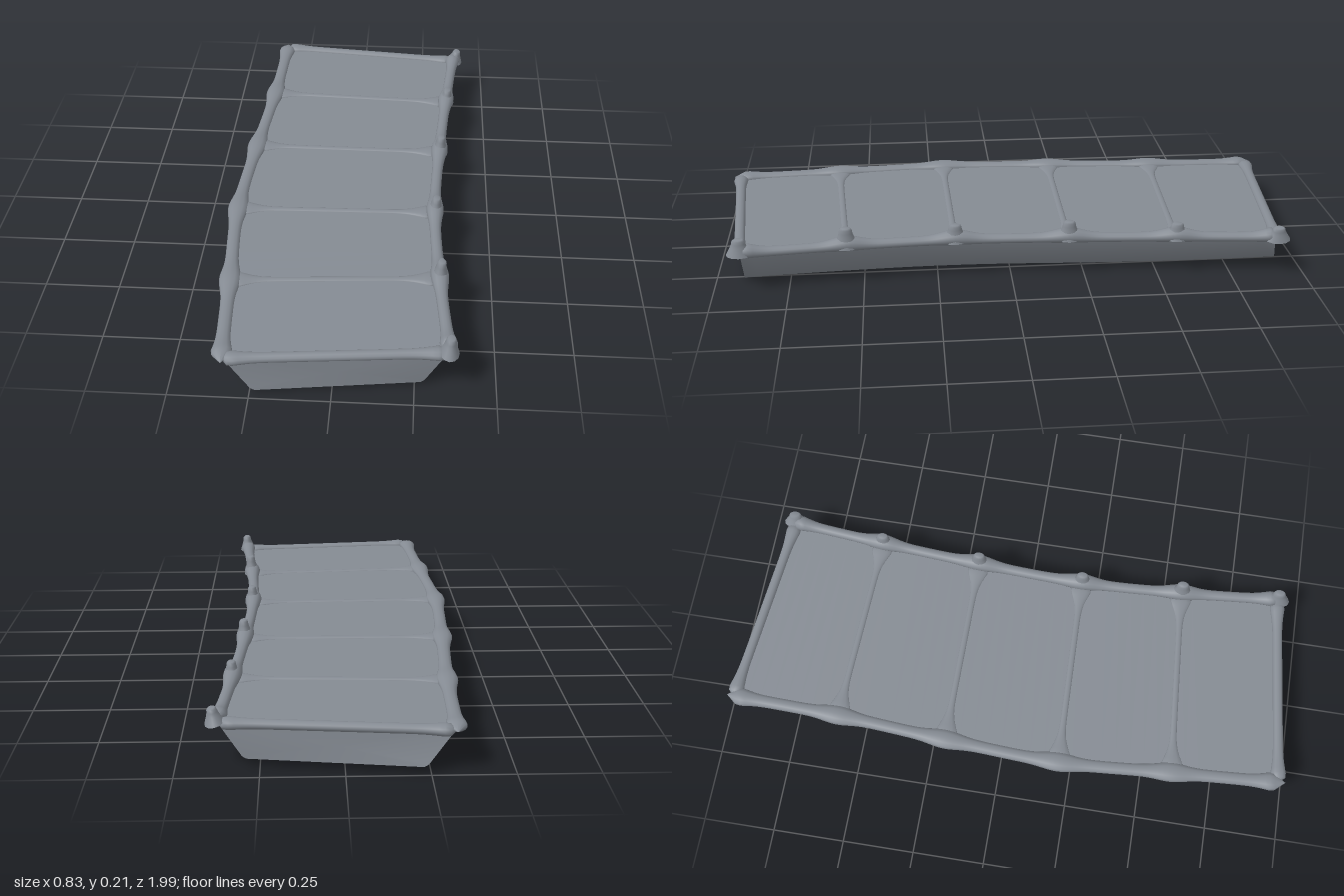
import * as THREE from 'three';
import { toCreasedNormals } from 'three/addons/utils/BufferGeometryUtils.js';

const slate = new THREE.MeshStandardMaterial({ color: 0x858b93 });
const V = (x, y, z) => new THREE.Vector3(x, y, z);

// Skin a list of closed cross-sections (each an array of Vector3)
function skin(rings) {
  const n = rings[0].length, index = [];
  for (let i = 0; i < rings.length - 1; i++) {
    for (let j = 0; j < n; j++) {
      const a = i * n + j, b = i * n + (j + 1) % n;
      index.push(a, a + n, b, b, a + n, b + n);
    }
  }
  const g = new THREE.BufferGeometry().setFromPoints(rings.flat());
  g.setIndex(index);
  g.computeVertexNormals();
  return g;
}

// Oval bar along a curve; size(t) returns [half width, half height, lift]
function bar(curve, segs, size, sides = 12) {
  const up = V(0, 1, 0), rings = [];
  for (let i = 0; i <= segs; i++) {
    const t = i / segs, c = curve.getPoint(t);
    const side = curve.getTangent(t).cross(up).normalize();
    const cap = Math.min(1, Math.min(t, 1 - t) * segs / 2);
    const round = Math.sqrt(1 - (1 - cap) ** 2);
    const [w, h, lift] = size(t);
    rings.push(Array.from({ length: sides }, (_, j) => {
      const a = j / sides * Math.PI * 2;
      return c.clone().addScaledVector(side, Math.cos(a) * w * round)
        .addScaledVector(up, Math.sin(a) * h * round + lift);
    }));
  }
  return skin(rings);
}

// Rail joints, back to front
const leftRow = [[-0.324, -0.97], [-0.336, -0.59], [-0.362, -0.2], [-0.38, 0.205], [-0.354, 0.6], [-0.33, 0.97]];
const rightRow = [[0.375, -0.9], [0.345, -0.56], [0.32, -0.195], [0.305, 0.19], [0.322, 0.555], [0.352, 0.905]];
const hornTops = [0.18, 0.19, 0.2, 0.195, 0.205, 0.19];

export function createModel() {
  const group = new THREE.Group();
  const add = (name, geometry) => {
    const mesh = new THREE.Mesh(geometry, slate);
    mesh.name = name;
    group.add(mesh);
    return mesh;
  };
  const left = new THREE.CatmullRomCurve3(leftRow.map(([x, z]) => V(x, 0.13, z)));
  const right = new THREE.CatmullRomCurve3(rightRow.map(([x, z]) => V(x, 0.133, z)));

  // Curved trough with sloping sides and a flat top; the floor lifts and juts out at the back
  const rings = [];
  for (let i = 0; i <= 40; i++) {
    const t = i / 40, l = left.getPoint(t), r = right.getPoint(t);
    const floor = 0.022 * Math.max(0, 1 - t / 0.4) ** 2 + 0.006 * Math.max(0, t - 0.6) / 0.4;
    const jut = -0.02 * Math.max(0, 1 - t / 0.2);
    const at = (p, dx, y) => V(p.x + dx, y, p.z);
    const low = (p, dx, y) => V(p.x + dx, floor + y, p.z + jut);
    rings.push([at(l, 0.012, 0.132), at(r, -0.01, 0.132), at(r, -0.014, 0.11), low(r, -0.072, 0.008),
      low(r, -0.084, 0), low(l, 0.096, 0), low(l, 0.082, 0.008), at(l, 0.018, 0.11)]);
  }
  const flatEnd = ring => {
    const c = ring.reduce((s, p) => s.add(p), V(0, 0, 0)).divideScalar(ring.length);
    return ring.map(() => c.clone());
  };
  rings.unshift(flatEnd(rings[0]));
  rings.push(flatEnd(rings[rings.length - 1]));
  add('body', toCreasedNormals(skin(rings).toNonIndexed(), 0.7));

  // Side rails swelling at each joint, run slightly past the corners
  const swell = t => Math.exp(-(((t * 5 - Math.round(t * 5)) / 0.17) ** 2));
  const extend = (curve, d) => {
    const pts = curve.getPoints(100);
    pts[0].addScaledVector(curve.getTangent(0), -d);
    pts[100].addScaledVector(curve.getTangent(1), d);
    return new THREE.CatmullRomCurve3(pts);
  };
  add('leftRail', bar(extend(left, 0.025), 120, t => {
    const s = swell(t);
    return [0.022 + 0.013 * s, 0.015 + 0.004 * s, 0.004 * s];
  }));
  add('rightRail', bar(extend(right, 0.016), 120, t => {
    const s = swell(t);
    return [0.019 + 0.011 * s, 0.016 + 0.01 * s, 0.004 + 0.009 * s];
  }));

  // End rails and thin cross ribs, flaring into the joints
  leftRow.forEach(([lx, lz], i) => {
    const [rx, rz] = rightRow[i];
    const end = i === 0 || i === 5;
    const line = new THREE.LineCurve3(V(lx, 0.13, lz), V(rx, 0.13, rz));
    add(end ? 'endRail' : 'crossRib', bar(line, 40, t => {
      const flare = Math.exp(-((Math.min(t, 1 - t) / 0.1) ** 2));
      return [(end ? 0.018 : 0.012) + (end ? 0.012 : 0.034) * flare, (end ? 0.015 : 0.007) + 0.005 * flare, 0];
    }));
  });

  // Blunt horns growing smoothly out of the right-hand joints, leaning outward
  rightRow.forEach(([x, z], i) => {
    const h = hornTops[i] - 0.13;
    const profile = [[0.044, 0.05], [0.036, 0.3], [0.028, 0.55], [0.023, 0.75], [0.021, 0.92], [0.015, 1], [0, 1]]
      .map(([r, y]) => new THREE.Vector2(r, y * h));
    const horn = add('horn', new THREE.LatheGeometry(profile, 12));
    horn.position.set(i === 0 ? x + 0.006 : x, 0.13, z);
    horn.scale.x = 0.7;
    horn.rotation.z = i === 0 ? -0.2 : -0.08;
  });
  return group;
}
